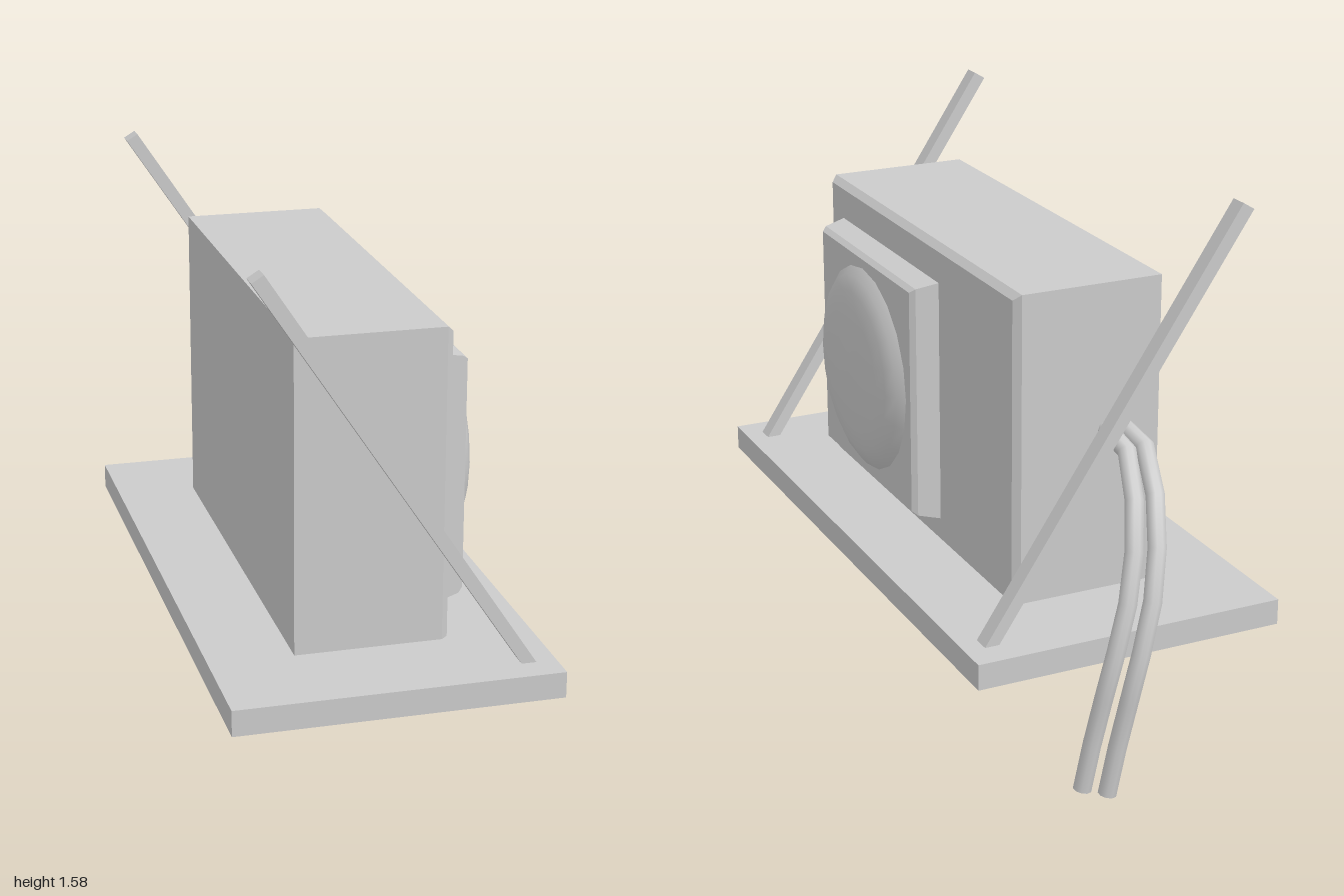
import * as THREE from 'three';

const grey = new THREE.MeshStandardMaterial({ color: 0xcccccc, side: THREE.DoubleSide });

function addMesh(parent, name, geometry) {
  const mesh = new THREE.Mesh(geometry, grey);
  mesh.name = name;
  parent.add(mesh);
  return mesh;
}

// Closed solid through rectangular sections [x, yMin, yMax, zMin, zMax], with hard edges
function rectLoft(sections) {
  const rings = sections.map(([x, y0, y1, z0, z1]) =>
    [[x, y0, z1], [x, y0, z0], [x, y1, z0], [x, y1, z1]]);
  const pos = [];
  const quad = (a, b, c, d) => pos.push(...a, ...b, ...c, ...a, ...c, ...d);
  for (let s = 0; s < rings.length - 1; s++) {
    for (let i = 0; i < 4; i++) {
      const j = (i + 1) % 4;
      quad(rings[s][i], rings[s][j], rings[s + 1][j], rings[s + 1][i]);
    }
  }
  const first = rings[0], last = rings[rings.length - 1];
  quad(first[3], first[2], first[1], first[0]);
  quad(...last);
  const g = new THREE.BufferGeometry();
  g.setAttribute('position', new THREE.Float32BufferAttribute(pos, 3));
  g.computeVertexNormals();
  return g;
}

export function createModel() {
  const model = new THREE.Group();
  model.name = 'wallUnit';

  // Base board
  const base = addMesh(model, 'baseBoard', new THREE.BoxGeometry(0.92, 0.075, 1.88));
  base.position.set(0, 0.4125, 0.06);

  // Main housing, chamfered around its face
  addMesh(model, 'housing', rectLoft([
    [-0.22, 0.45, 1.35, -0.6, 0.715],
    [0.2, 0.45, 1.35, -0.6, 0.715],
    [0.22, 0.45, 1.332, -0.582, 0.697],
  ]));

  // Raised square panel, tapered and chamfered
  addMesh(model, 'panel', rectLoft([
    [0.22, 0.515, 1.24, -0.105, 0.61],
    [0.285, 0.53, 1.226, -0.09, 0.596],
    [0.3, 0.542, 1.214, -0.077, 0.584],
  ]));

  // Shallow dome on the panel
  const profile = [[0.31, 0], [0.285, 0.02], [0.245, 0.038], [0.19, 0.046], [0.11, 0.053], [0, 0.056]]
    .map(([r, h]) => new THREE.Vector2(r, h));
  const dome = addMesh(model, 'dome', new THREE.LatheGeometry(profile, 20));
  dome.rotation.z = -Math.PI / 2;
  dome.position.set(0.304, 0.88, 0.255);

  // Slanted stays, cut flat where they meet the board
  const stayShape = new THREE.Shape([[0.36, 0.45], [0.402, 0.45], [-0.347, 1.585], [-0.38, 1.565]]
    .map(([x, y]) => new THREE.Vector2(x, y)));
  for (const [name, z] of [['frontStay', 0.868], ['backStay', -0.798]]) {
    const g = new THREE.ExtrudeGeometry(stayShape, { depth: 0.052, bevelEnabled: false });
    addMesh(model, name, g).position.z = z;
  }

  // Two hanging cables behind the housing: shared heights, separate sweeps in x and z
  const heights = [0.928, 0.925, 0.89, 0.78, 0.6, 0.4, 0.2, 0.006];
  const cableX = [-0.11, -0.11, -0.1, -0.075, -0.03, 0.03, 0.07, 0.1];
  const cableZ = [
    [-0.59, -0.7, -0.77, -0.86, -0.94, -0.972, -0.955, -0.938],
    [-0.59, -0.69, -0.75, -0.83, -0.9, -0.925, -0.905, -0.887],
  ];
  const radius = 0.027;
  cableZ.forEach((zs, k) => {
    const cable = new THREE.Group();
    cable.name = k ? 'innerCable' : 'outerCable';
    const curve = new THREE.CatmullRomCurve3(
      heights.map((y, i) => new THREE.Vector3(cableX[i] + 0.05 * k, y, zs[i])));
    addMesh(cable, 'cableSheath', new THREE.TubeGeometry(curve, 8, radius, 10));
    const end = addMesh(cable, 'cableEnd', new THREE.CircleGeometry(radius, 10));
    end.position.copy(curve.getPoint(1));
    end.quaternion.setFromUnitVectors(new THREE.Vector3(0, 0, 1), curve.getTangent(1));
    model.add(cable);
  });

  return model;
}
